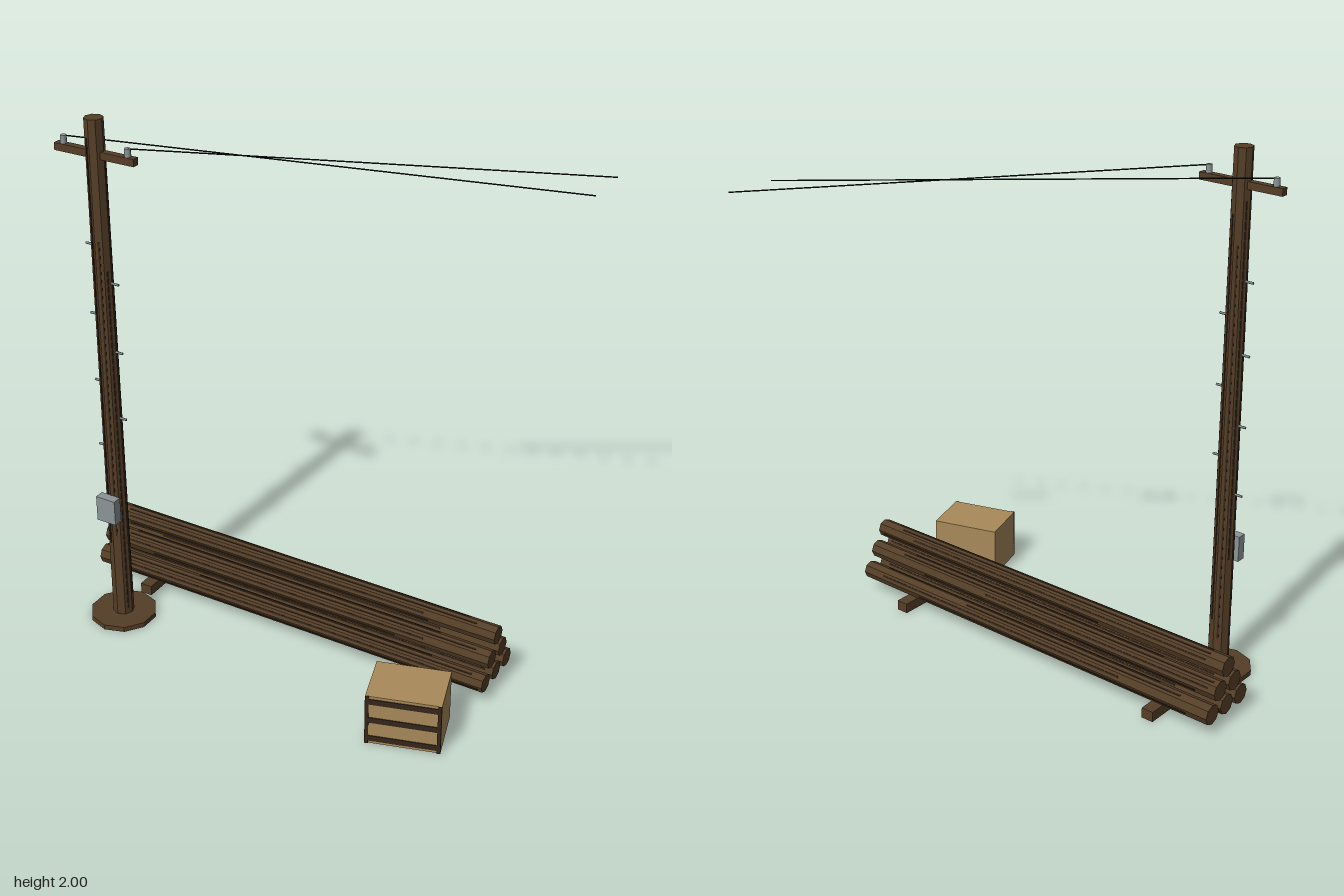
import * as THREE from 'three';

const mat = (name, color) => {
  const m = new THREE.MeshStandardMaterial({ color });
  m.name = name;
  return m;
};

export function createModel() {
  const root = new THREE.Group();
  root.name = 'utilityPoleYard';
  const wood = mat('brown timber', 0x553e27);
  const grain = mat('dark grain', 0x35261a);
  const crateWood = mat('pale crate wood', 0xa98a5a);
  const metal = mat('grey metal', 0x8b9496);
  const black = mat('black cable', 0x121214);
  wood.flatShading = true;

  let seed = 11;
  const rand = () => (seed = (seed * 16807) % 2147483647) / 2147483647;

  const add = (parent, name, geo, material, x = 0, y = 0, z = 0) => {
    const m = new THREE.Mesh(geo, material);
    m.name = name;
    m.position.set(x, y, z);
    parent.add(m);
    return m;
  };
  const box = (parent, name, material, w, h, d, x, y, z) =>
    add(parent, name, new THREE.BoxGeometry(w, h, d), material, x, y, z);

  // Tapered eight-sided timber along y, with thin dark grain strips on its faces
  const timber = (name, rTop, rBottom, length, strips) => {
    const g = new THREE.Group();
    g.name = name;
    add(g, name + 'Body', new THREE.CylinderGeometry(rTop, rBottom, length, 8), wood);
    const tilt = -Math.atan((rBottom - rTop) / length);
    for (let i = 0; i < strips; i++) {
      const len = length * (0.6 + 0.35 * rand());
      const y = (rand() - 0.5) * (length - len);
      const r = THREE.MathUtils.lerp(rBottom, rTop, y / length + 0.5) * Math.cos(Math.PI / 8);
      const holder = new THREE.Group();
      holder.name = 'grainHolder';
      holder.rotation.y = (i + 0.5) * Math.PI * 2 / strips;
      box(holder, 'grainStrip', grain, 0.006, len, 0.005, 0, y, r).rotation.x = tilt;
      g.add(holder);
    }
    return g;
  };

  // Standing pole on a round foot
  const px = -0.637, pz = 0.362;
  const pole = new THREE.Group();
  pole.name = 'utilityPole';
  pole.position.set(px, 0, pz);
  root.add(pole);
  add(pole, 'poleFoot', new THREE.CylinderGeometry(0.127, 0.127, 0.02, 10), wood, 0, 0.01, 0);
  const shaft = timber('poleShaft', 0.034, 0.04, 1.98, 8);
  shaft.position.y = 1.01;
  pole.add(shaft);

  // Climbing pegs on alternating sides
  for (let i = 0; i < 7; i++) {
    const side = i % 2 ? 1 : -1;
    const peg = add(pole, 'climbingPeg', new THREE.CylinderGeometry(0.0045, 0.0045, 0.04, 6), metal,
      side * 0.045, 0.735 + i * 0.1333, 0);
    peg.rotation.z = Math.PI / 2;
  }

  // Meter box
  box(pole, 'meterBox', metal, 0.082, 0.1, 0.036, 0, 0.5, 0.054);

  // Crossarm, insulators and cables
  box(pole, 'crossarm', wood, 0.33, 0.027, 0.027, 0, 1.872, 0);
  for (const [x, endZ] of [[-0.77, -0.375], [-0.503, -0.573]]) {
    add(pole, 'insulator', new THREE.CylinderGeometry(0.011, 0.012, 0.03, 8), metal, x - px, 1.9, 0);
    const path = new THREE.LineCurve3(new THREE.Vector3(x, 1.913, pz), new THREE.Vector3(0.865, 1.77, endZ));
    add(root, 'cable', new THREE.TubeGeometry(path, 1, 0.0025, 5), black);
  }

  // Log stack lying on two sleepers
  const stack = new THREE.Group();
  stack.name = 'logStack';
  root.add(stack);
  for (const x of [-0.638, 0.565]) box(stack, 'sleeper', wood, 0.048, 0.04, 0.3, x, 0.02, 0.063);
  for (let row = 0; row < 3; row++) {
    for (let i = 0; i < 3 - row; i++) {
      const log = timber('log', 0.035, 0.039, 1.67, 8);
      log.rotation.z = -Math.PI / 2;
      log.position.set(-0.035, 0.084 + row * 0.077, 0.067 + (i - (2 - row) / 2) * 0.089);
      stack.add(log);
    }
  }

  // Crate turned towards its left, with dark battens on the front
  const crate = new THREE.Group();
  crate.name = 'crate';
  crate.position.set(0.633, 0, 0.43);
  crate.rotation.y = 0.3;
  root.add(crate);
  box(crate, 'crateBody', crateWood, 0.267, 0.2, 0.2, 0, 0.1, 0);
  for (const y of [0.178, 0.1, 0.022]) box(crate, 'crateSlat', grain, 0.26, 0.022, 0.006, 0, y, 0.1);
  for (const x of [-0.127, 0.127]) box(crate, 'crateBatten', grain, 0.013, 0.2, 0.008, x, 0.1, 0.1);

  return root;
}
